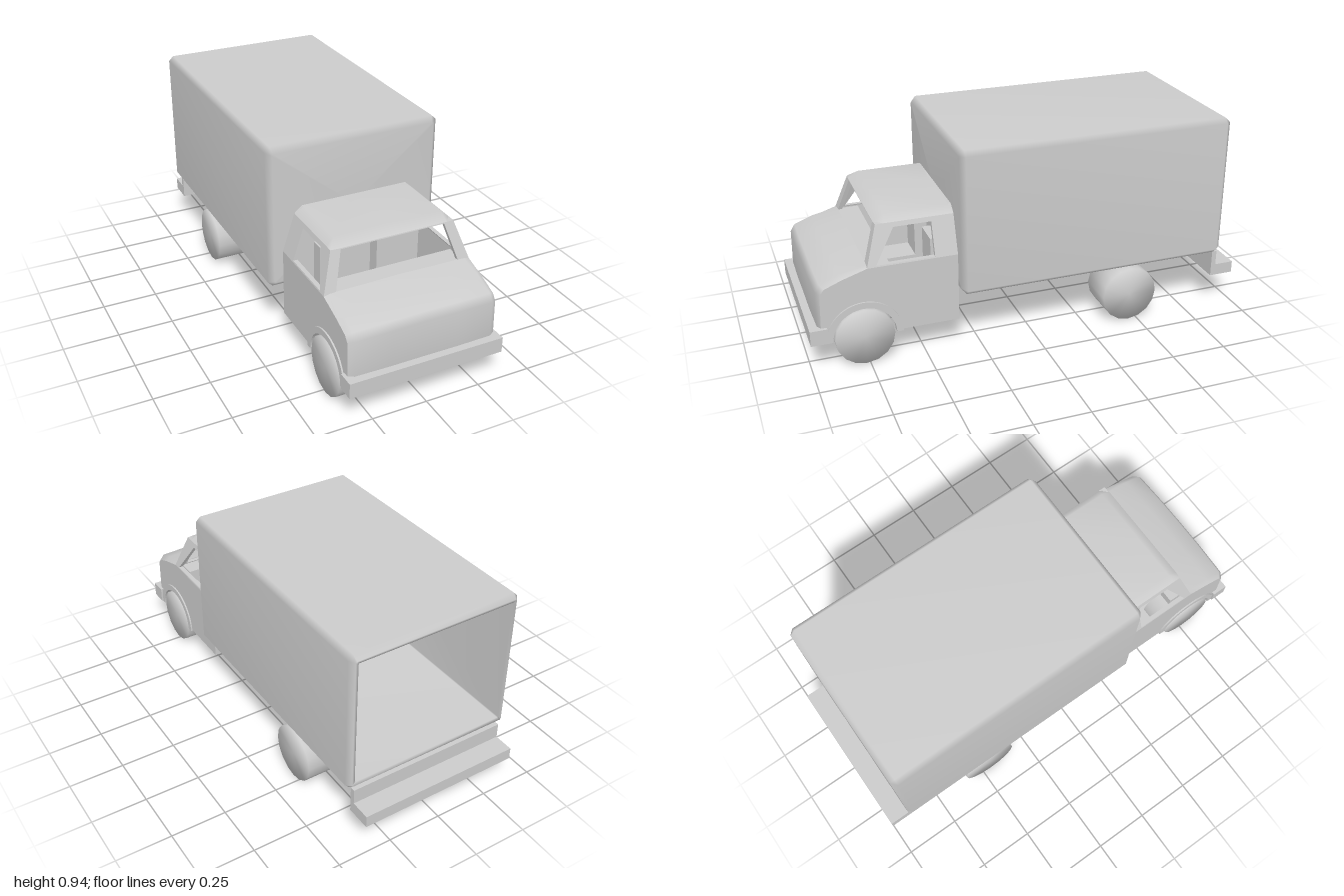
import * as THREE from 'three';
import { mergeVertices } from 'three/addons/utils/BufferGeometryUtils.js';

const grey = new THREE.MeshStandardMaterial({ color: 0xcccccc, side: THREE.DoubleSide });

function add(group, name, geometry, x = 0, y = 0, z = 0) {
  const mesh = new THREE.Mesh(geometry, grey);
  mesh.name = name;
  mesh.position.set(x, y, z);
  group.add(mesh);
  return mesh;
}

// Box given by its limits on each axis
function block(group, name, x0, x1, y0, y1, z0, z1) {
  return add(group, name, new THREE.BoxGeometry(x1 - x0, y1 - y0, z1 - z0),
    (x0 + x1) / 2, (y0 + y1) / 2, (z0 + z1) / 2);
}

// Smooth skin over rows of [x, y, z] points
function loft(rows, closed) {
  const n = rows[0].length, index = [];
  for (let i = 0; i < rows.length - 1; i++) {
    for (let j = 0; j < (closed ? n : n - 1); j++) {
      const a = i * n + j, b = i * n + (j + 1) % n, c = a + n, d = b + n;
      index.push(a, c, b, b, c, d);
    }
  }
  const geometry = new THREE.BufferGeometry();
  geometry.setAttribute('position', new THREE.Float32BufferAttribute(rows.flat(2), 3));
  geometry.setIndex(index);
  geometry.computeVertexNormals();
  return geometry;
}

const polygon = (pts) => pts.map(([u, v]) => new THREE.Vector2(u, v));

// Thin flat panel; place(u, v, w) puts outline point u, v at depth w in space
function panel(shape, depth, place) {
  const geometry = new THREE.ExtrudeGeometry(shape, { depth, bevelEnabled: false, curveSegments: 14 });
  const p = geometry.attributes.position;
  for (let i = 0; i < p.count; i++) p.setXYZ(i, ...place(p.getX(i), p.getY(i), p.getZ(i)));
  geometry.computeVertexNormals();
  return geometry;
}

// Cylinder along x, with shading that runs softly over the rim
function softCylinder(radius, width, sides) {
  const g = new THREE.CylinderGeometry(radius, radius, width, sides).rotateZ(Math.PI / 2);
  g.deleteAttribute('normal');
  g.deleteAttribute('uv');
  const merged = mergeVertices(g);
  merged.computeVertexNormals();
  return merged;
}

const WHEEL_Y = 0.13, FRONT_Z = 0.765, REAR_Z = -0.46;

function cargoBox() {
  const group = new THREE.Group();
  group.name = 'cargoBox';
  // Octagonal ring: a rectangle with cut corners
  const ring = (hx, hy, cut, z) => [
    [hx, -hy + cut], [hx, hy - cut], [hx - cut, hy], [-hx + cut, hy],
    [-hx, hy - cut], [-hx, -hy + cut], [-hx + cut, -hy], [hx - cut, -hy],
  ].map(([x, y]) => [x, 0.605 + y, z]);
  add(group, 'cargoShell', loft([
    ring(0, 0, 0, 0.345),
    ring(0.38, 0.305, 0.006, 0.345),
    ring(0.405, 0.33, 0.022, 0.322),
    ring(0.405, 0.33, 0.022, -0.887),
    ring(0.385, 0.31, 0.006, -0.91),
    ring(0.37, 0.295, 0.004, -0.905),
    ring(0.37, 0.295, 0.004, 0.31),
    ring(0, 0, 0, 0.31),
  ], true));
  return group;
}

function cab() {
  const group = new THREE.Group();
  group.name = 'cab';

  // Nose and hood: centre profile and lower edge profile as [z, y]
  const crest = [[0.95, 0.135], [0.968, 0.21], [0.965, 0.37], [0.945, 0.403], [0.86, 0.435], [0.74, 0.46]];
  const edge = [[0.935, 0.135], [0.95, 0.21], [0.945, 0.36], [0.925, 0.385], [0.85, 0.415], [0.74, 0.45]];
  add(group, 'hood', loft(crest.map(([z, y], i) => [
    [-0.34, edge[i][1], edge[i][0]], [-0.315, y - 0.004, z - 0.004], [-0.15, y, z], [0, y + 0.003, z],
    [0.15, y, z], [0.315, y - 0.004, z - 0.004], [0.34, edge[i][1], edge[i][0]],
  ]).reverse(), false));

  // Lower side with wheel arch cut out
  const lower = new THREE.Shape();
  lower.moveTo(0.345, 0.135);
  lower.lineTo(FRONT_Z - 0.155, 0.135);
  lower.absarc(FRONT_Z, WHEEL_Y, 0.155, Math.PI, 0, true);
  edge.forEach(([z, y]) => lower.lineTo(z, y));
  lower.lineTo(0.345, 0.45);

  // Upper side with window
  const upper = new THREE.Shape(polygon([[0.345, 0.45], [0.74, 0.45], [0.685, 0.62], [0.345, 0.62]]));
  upper.holes.push(new THREE.Path(polygon([[0.445, 0.456], [0.445, 0.6], [0.61, 0.6], [0.7, 0.456]])));
  const lean = (y) => (y - 0.45) * 0.055 / 0.17;

  // Raised band around the wheel arch
  const flare = new THREE.Shape();
  flare.absarc(FRONT_Z, WHEEL_Y, 0.167, 0, Math.PI, false);
  flare.absarc(FRONT_Z, WHEEL_Y, 0.138, Math.PI, 0, true);

  for (const [s, side] of [[1, 'left'], [-1, 'right']]) {
    add(group, side + 'LowerSide', panel(lower, 0.015, (u, v, w) => [s * (0.34 - w), v, u]));
    add(group, side + 'WindowFrame', panel(upper, 0.02, (u, v, w) => [s * (0.34 - lean(v) - w), v, u]));
    add(group, side + 'WheelArch', panel(flare, 0.03, (u, v, w) => [s * (0.347 - w), v, u]));
    // Wheel well: half tube closed on the inside
    const tube = new THREE.CylinderGeometry(0.155, 0.155, 0.13, 14, 1, true, 0, Math.PI);
    add(group, side + 'WheelWell', tube.rotateZ(Math.PI / 2), s * 0.265, WHEEL_Y, FRONT_Z);
    const wall = new THREE.CircleGeometry(0.155, 14, 0, Math.PI).rotateY(Math.PI / 2);
    add(group, side + 'WheelWellWall', wall, s * 0.2, WHEEL_Y, FRONT_Z);
    // Seat
    const x0 = s * 0.1375 - 0.0675;
    block(group, side + 'SeatCushion', x0, x0 + 0.135, 0.15, 0.27, 0.37, 0.57);
    block(group, side + 'SeatBack', x0, x0 + 0.135, 0.27, 0.475, 0.37, 0.43);
  }

  // Windshield frame
  const screen = new THREE.Shape(polygon([[-0.34, 0.45], [0.34, 0.45], [0.285, 0.62], [-0.285, 0.62]]));
  screen.holes.push(new THREE.Path(polygon([[-0.285, 0.455], [-0.24, 0.614], [0.24, 0.614], [0.285, 0.455]])));
  add(group, 'windshieldFrame', panel(screen, 0.02, (u, v, w) => [u, v, 0.74 - lean(v) - w]));

  // Roof with sloped front and sides
  const roofRow = (z, yEdge, y, zEdge) => [
    [-0.285, yEdge, zEdge], [-0.25, y, z], [0, y, z], [0.25, y, z], [0.285, yEdge, zEdge],
  ];
  add(group, 'roof', loft([
    roofRow(0.345, 0.62, 0.65, 0.345), roofRow(0.64, 0.62, 0.65, 0.65), roofRow(0.688, 0.62, 0.62, 0.685),
  ], false));

  // Rear wall, floor and dashboard
  const rear = new THREE.Shape(polygon([
    [-0.34, 0.135], [0.34, 0.135], [0.34, 0.45], [0.285, 0.62], [0.25, 0.65],
    [-0.25, 0.65], [-0.285, 0.62], [-0.34, 0.45],
  ]));
  add(group, 'rearWall', panel(rear, 0.012, (u, v, w) => [u, v, 0.345 + w]));
  block(group, 'floor', -0.335, 0.335, 0.135, 0.15, 0.345, 0.61);
  block(group, 'engineFloor', -0.2, 0.2, 0.135, 0.15, 0.61, 0.94);
  block(group, 'dashboard', -0.31, 0.31, 0.4, 0.45, 0.64, 0.735);
  return group;
}

function runningGear() {
  const group = new THREE.Group();
  group.name = 'runningGear';
  for (const s of [1, -1]) {
    add(group, 'frontWheel', softCylinder(0.13, 0.095, 16), s * 0.2975, WHEEL_Y, FRONT_Z);
    add(group, 'rearWheel', softCylinder(0.13, 0.175, 16), s * 0.2975, WHEEL_Y, REAR_Z);
  }
  // Rear axle with differential bulge
  const square = (x, r) => [[x, WHEEL_Y - r, REAR_Z - r], [x, WHEEL_Y + r, REAR_Z - r],
    [x, WHEEL_Y + r, REAR_Z + r], [x, WHEEL_Y - r, REAR_Z + r]];
  add(group, 'rearAxle', loft([
    square(-0.22, 0.03), square(-0.07, 0.03), square(0, 0.07), square(0.07, 0.03), square(0.22, 0.03),
  ], true));
  return group;
}

export function createModel() {
  const model = new THREE.Group();
  model.name = 'boxTruck';
  model.add(cargoBox(), cab(), runningGear());
  block(model, 'frontBumper', -0.355, 0.355, 0.135, 0.205, 0.925, 1);
  // Rear step, L-shaped in profile
  const step = new THREE.Shape(polygon([
    [-1, 0.145], [-0.887, 0.145], [-0.887, 0.27], [-0.91, 0.27], [-0.91, 0.2], [-1, 0.2],
  ]));
  add(model, 'rearStep', panel(step, 0.75, (u, v, w) => [0.375 - w, v, u]));
  return model;
}
